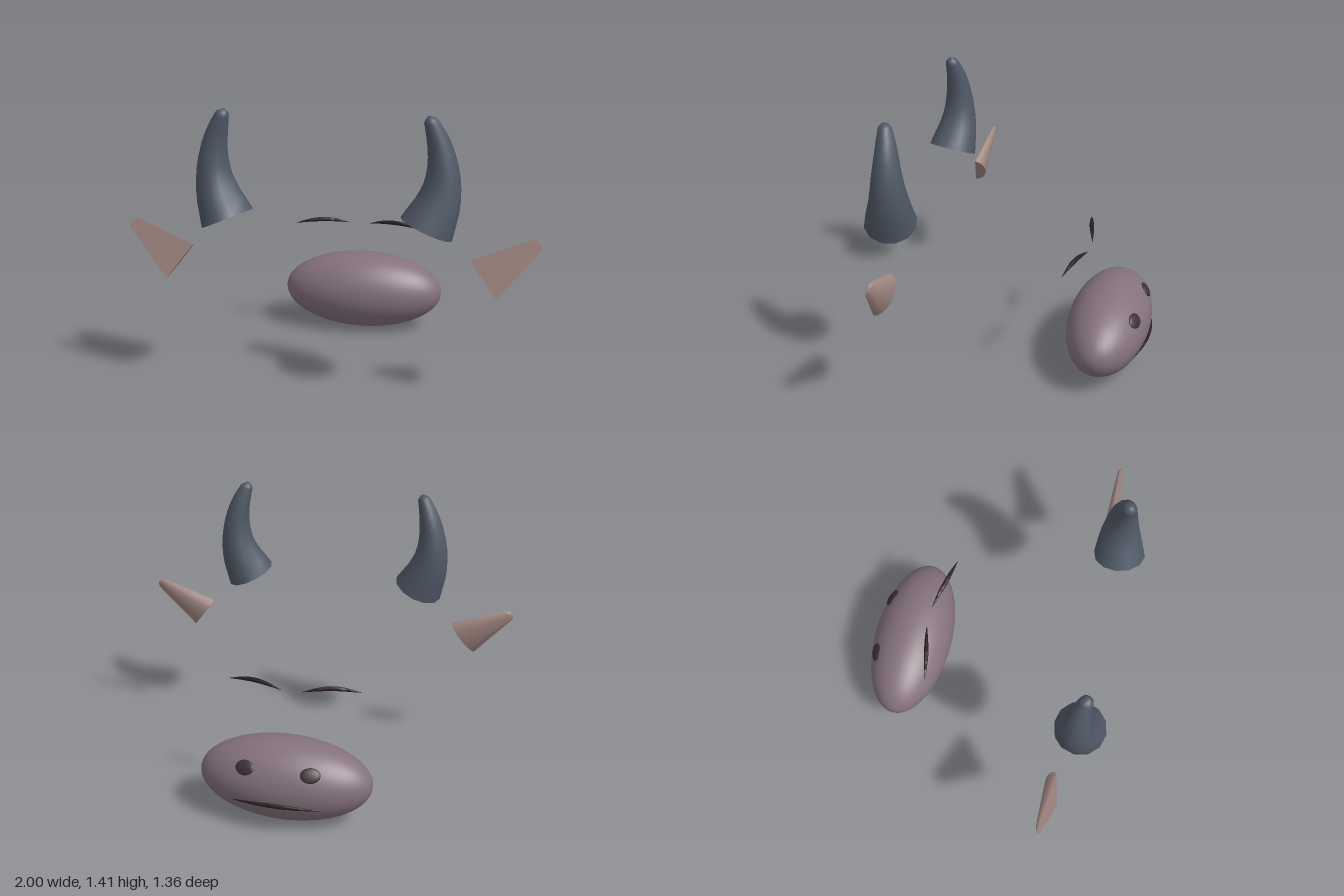
import * as THREE from 'three';
import { toCreasedNormals } from 'three/addons/utils/BufferGeometryUtils.js';

const V = (x, y, z) => new THREE.Vector3(x, y, z);
const mat = (color) => new THREE.MeshStandardMaterial({ color });

// Skin a list of rings (each counter-clockwise about the travel direction) and cap both ends
function loft(rings, crease) {
  const n = rings[0].length, pos = [], index = [];
  for (const ring of rings) for (const p of ring) pos.push(p.x, p.y, p.z);
  for (let i = 0; i < rings.length - 1; i++) {
    for (let j = 0; j < n; j++) {
      const k = (j + 1) % n, a = i * n + j, b = i * n + k;
      index.push(a, b, b + n, a, b + n, a + n);
    }
  }
  const last = rings.length - 1;
  for (const i of [0, last]) {
    const c = rings[i].reduce((s, p) => s.add(p), V(0, 0, 0)).divideScalar(n);
    const ci = pos.length / 3;
    pos.push(c.x, c.y, c.z);
    for (let j = 0; j < n; j++) {
      const a = i * n + j, b = i * n + (j + 1) % n;
      if (i === 0) index.push(ci, b, a); else index.push(ci, a, b);
    }
  }
  const g = new THREE.BufferGeometry();
  g.setAttribute('position', new THREE.Float32BufferAttribute(pos, 3));
  g.setIndex(index);
  return toCreasedNormals(g, crease);
}

// Mirror rings in x, reversing each so faces still point outwards
const mirror = (rings) => rings.map((r) => r.map((p) => V(-p.x, p.y, p.z)).reverse());

// Rings of varying radius along a curve
function sweep(curve, radiusAt, steps, sides) {
  const rings = [];
  for (let i = 0; i <= steps; i++) {
    const f = i / steps, c = curve.getPoint(f), t = curve.getTangent(f);
    const u = t.clone().cross(V(0, 0, 1)).normalize(), v = t.clone().cross(u);
    const r = radiusAt(f, i), ring = [];
    for (let j = 0; j < sides; j++) {
      const a = (j / sides) * Math.PI * 2;
      ring.push(c.clone().addScaledVector(u, r * Math.cos(a)).addScaledVector(v, r * Math.sin(a)));
    }
    rings.push(ring);
  }
  return rings;
}

// Horn: tapering, curling inwards, with a rounded tip
function hornRings() {
  const path = new THREE.CatmullRomCurve3([
    V(0.475, 0.885, 0.55), V(0.52, 0.99, 0.534), V(0.542, 1.085, 0.527), V(0.543, 1.18, 0.527),
    V(0.525, 1.28, 0.53), V(0.494, 1.37, 0.542), V(0.484, 1.392, 0.546), V(0.478, 1.41, 0.548),
  ]);
  const radii = [0.131, 0.108, 0.088, 0.072, 0.056, 0.037, 0.031, 0.01];
  const radiusAt = (f) => {
    const s = f * (radii.length - 1), i = Math.min(Math.floor(s), radii.length - 2);
    return THREE.MathUtils.lerp(radii[i], radii[i + 1], s - i);
  };
  return sweep(path, radiusAt, 14, 12);
}

// Ear: half cone with a flat tilted face and a rounded back
function earRings() {
  const planeZ = (y) => 0.46 + (0.835 - y) * 0.235;
  // upper x, y, lower x, y, depth of the rounded back
  const sections = [
    [0.675, 0.725, 0.805, 0.555, 0.062],
    [0.96, 0.835, 1.0, 0.785, 0.018],
    [0.985, 0.829, 1.0, 0.808, 0.008],
  ];
  return sections.map(([ax, ay, bx, by, depth]) => {
    const a = V(ax, ay, planeZ(ay)), b = V(bx, by, planeZ(by));
    const c = a.clone().add(b).multiplyScalar(0.5), h = b.clone().sub(c), ring = [];
    for (let j = 0; j <= 10; j++) {
      const t = (j / 10) * Math.PI;
      ring.push(c.clone().addScaledVector(h, Math.cos(t)).add(V(0, 0, -depth * Math.sin(t))));
    }
    return ring;
  });
}

// Thin crescent with pointed ends, for brows and mouth
function crescentRings(points, r) {
  const radiusAt = (f) => r * Math.sin(Math.PI * f) + 0.0008;
  return sweep(new THREE.CatmullRomCurve3(points), radiusAt, 24, 10);
}

export function createModel() {
  const group = new THREE.Group();
  const hornMat = mat(0x4f5866), earMat = mat(0xa08680), snoutMat = mat(0x84717c);
  const darkMat = mat(0x2a2020), nostrilMat = mat(0x3c3034);
  const add = (name, geometry, material) => {
    const mesh = new THREE.Mesh(geometry, material);
    mesh.name = name;
    group.add(mesh);
    return mesh;
  };
  const addPair = (name, rings, material, crease) => {
    add('left' + name, loft(rings, crease), material);
    add('right' + name, loft(mirror(rings), crease), material);
  };

  addPair('Horn', hornRings(), hornMat, 1.0);
  addPair('Ear', earRings(), earMat, 0.7);
  addPair('Brow', crescentRings(
    [V(0.055, 0.633, -0.346), V(0.125, 0.647, -0.329), V(0.2, 0.653, -0.31), V(0.27, 0.647, -0.295), V(0.342, 0.633, -0.28)],
    0.011), darkMat, 1.2);

  // Snout
  const centre = V(0, 0.213, -0.462), radii = V(0.442, 0.213, 0.213);
  const snout = add('snout', new THREE.SphereGeometry(1, 48, 32), snoutMat);
  snout.geometry.scale(radii.x, radii.y, radii.z);
  snout.position.copy(centre);

  // Point on the snout's face at a given x and y
  const onSnout = (x, y, lift = 0) => {
    const dy = y - centre.y, k = 1 - (x / radii.x) ** 2;
    return V(x, y, centre.z - Math.sqrt(radii.z ** 2 * k - dy ** 2) - lift);
  };

  // Nostrils: flattened discs lying on the snout
  for (const s of [1, -1]) {
    const nostril = add(s > 0 ? 'leftNostril' : 'rightNostril', new THREE.SphereGeometry(1, 24, 16), nostrilMat);
    nostril.geometry.scale(0.05, 0.038, 0.012);
    const p = onSnout(s * 0.165, 0.33);
    const normal = p.clone().sub(centre).divide(radii).divide(radii);
    nostril.position.copy(p);
    nostril.lookAt(p.clone().add(normal));
  }

  // Mouth: crescent following the snout
  const mouth = [];
  for (let i = -4; i <= 4; i++) {
    const f = i / 4;
    mouth.push(onSnout(f * 0.23, 0.165 - 0.015 * f * f, 0.002));
  }
  add('mouth', loft(crescentRings(mouth, 0.011), 1.2), darkMat);

  return group;
}
